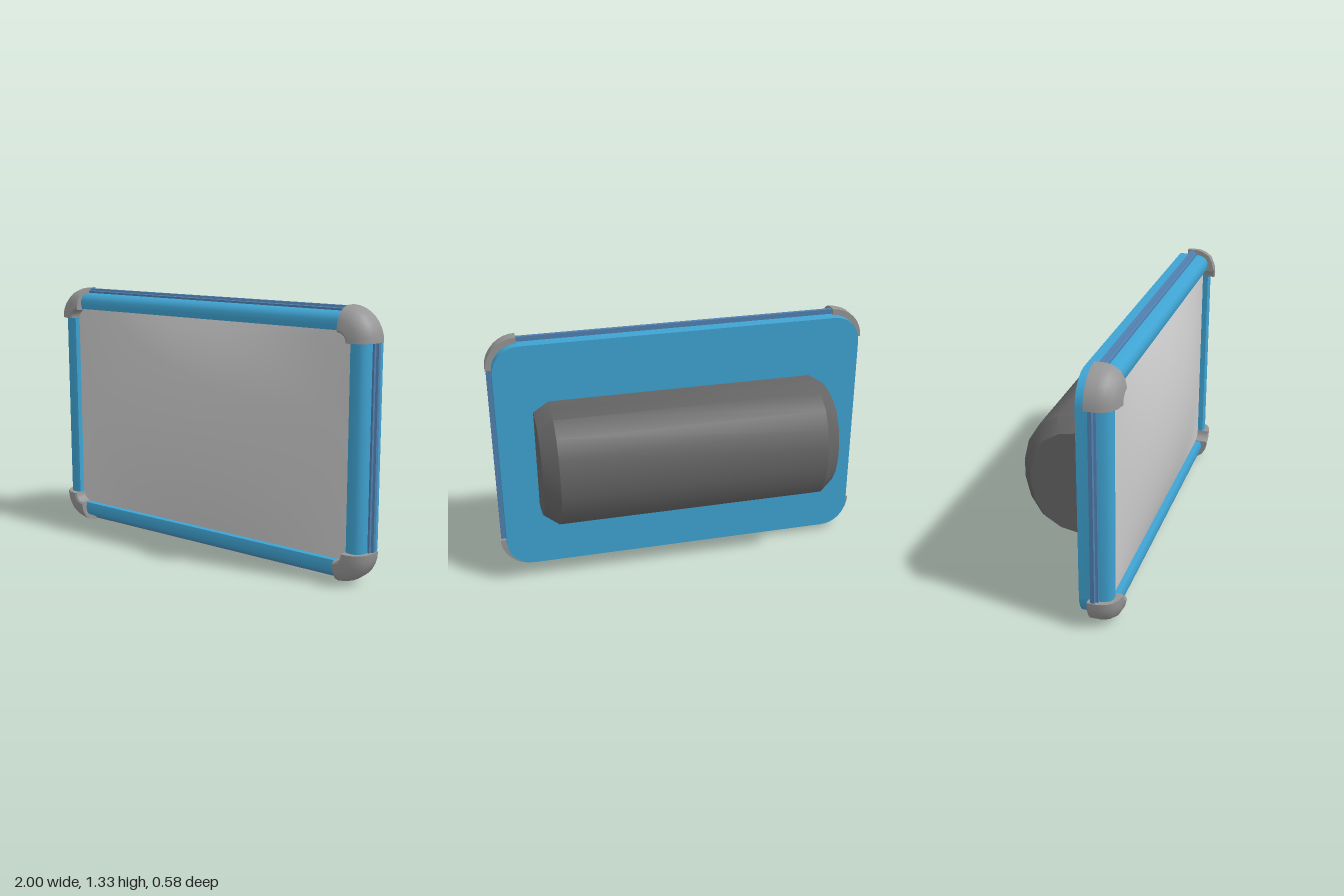
import * as THREE from 'three';
import { toCreasedNormals } from 'three/addons/utils/BufferGeometryUtils.js';

const CY = 0.665; // height of the panel centre
const HW = 1, HH = 0.665, R = 0.165; // outer half sizes and corner radius

const material = (name, color, side = THREE.FrontSide) => {
  const m = new THREE.MeshStandardMaterial({ color, side });
  m.name = name;
  return m;
};

// Rounded rectangle, counterclockwise; n arc steps, m extra points per straight edge
function outline(hw, hh, r, n = 8, m = 0) {
  const pts = [];
  [[1, 1], [-1, 1], [-1, -1], [1, -1]].forEach(([sx, sy], k) => {
    for (let i = 0; i <= n; i++) {
      const a = (k + i / n) * Math.PI / 2;
      pts.push([sx * (hw - r) + r * Math.cos(a), sy * (hh - r) + r * Math.sin(a)]);
    }
    const [x, y] = pts[pts.length - 1];
    for (let i = 1; i <= m; i++) {
      const t = i / (m + 1);
      pts.push(k % 2 ? [x + (sx < 0 ? 1 : -1) * 2 * (hw - r) * t * (k === 1 ? 0 : 1), y - (k === 1 ? 2 * (hh - r) * t : 0)]
        : [x, y]);
      const p = pts[pts.length - 1];
      if (k === 0) p[0] = x - 2 * (hw - r) * t;
      if (k === 2) p[0] = x + 2 * (hw - r) * t;
      if (k === 3) { p[0] = x; p[1] = y + 2 * (hh - r) * t; }
    }
  });
  return pts;
}

// Skin a row of cross-sections
function loft(sections, { loop = false, closed = false, caps = false, crease = 0.6 } = {}) {
  const S = sections.length, P = sections[0].length, index = [];
  for (let i = 0; i < (loop ? S : S - 1); i++) {
    for (let j = 0; j < (closed ? P : P - 1); j++) {
      const i2 = (i + 1) % S, j2 = (j + 1) % P;
      const a = i * P + j, b = i2 * P + j, c = i2 * P + j2, d = i * P + j2;
      index.push(a, b, d, b, c, d);
    }
  }
  if (caps) {
    const e = (S - 1) * P;
    for (let j = 1; j < P - 1; j++) index.push(0, j, j + 1, e, e + j + 1, e + j);
  }
  const g = new THREE.BufferGeometry();
  g.setAttribute('position', new THREE.Float32BufferAttribute(sections.flat(2), 3));
  g.setIndex(index);
  return toCreasedNormals(g, crease);
}

// Sections of a rim profile given as [inset, z], following the outer outline
function rimSections(profile) {
  const rings = profile.map(([d]) => outline(HW - d, HH - d, R - d));
  return rings[0].map((_, i) => profile.map(([, z], j) => [rings[j][i][0], CY + rings[j][i][1], z]));
}

export function createModel() {
  const blue = material('casing blue', 0x3fa3d2, THREE.DoubleSide);
  const slate = material('edge stripe blue', 0x5080b0, THREE.DoubleSide);
  const silver = material('screen silver', 0xcccccc, THREE.DoubleSide);
  const grey = material('bumper grey', 0x969696);
  const dark = material('housing dark grey', 0x646464);

  const model = new THREE.Group();
  model.name = 'panel';
  const add = (name, geometry, mat) => {
    const mesh = new THREE.Mesh(geometry, mat);
    mesh.name = name;
    model.add(mesh);
    return mesh;
  };

  // Back plate
  const plateShape = new THREE.Shape(outline(0.97, 0.635, 0.14).map(p => new THREE.Vector2(...p)));
  const plate = new THREE.ExtrudeGeometry(plateShape, { depth: 0.07, bevelEnabled: false });
  plate.translate(0, CY, 0.068);
  add('backPlate', toCreasedNormals(plate, 0.6), blue);

  // Frame: stepped outer stripe and rounded front
  add('edgeStripe', loft(rimSections([
    [0.04, 0.133], [0.005, 0.133], [0.005, 0.152], [0.016, 0.156], [0.018, 0.168], [0.028, 0.168],
  ]), { loop: true }), slate);
  add('frontFrame', loft(rimSections([
    [0.028, 0.168], [0.032, 0.195], [0.045, 0.218], [0.065, 0.229], [0.09, 0.23], [0.113, 0.224], [0.115, 0.18],
  ]), { loop: true }), blue);

  // Corner bumpers
  const bumper = rimSections([
    [0.118, 0.115], [0, 0.115], [0, 0.17], [0.01, 0.205], [0.03, 0.235], [0.065, 0.255], [0.108, 0.264], [0.118, 0.258],
  ]);
  ['leftTop', 'rightTop', 'rightBottom', 'leftBottom'].forEach((corner, k) => {
    add(corner + 'Bumper', loft(bumper.slice(k * 9, k * 9 + 9), { closed: true, caps: true }), grey);
  });

  // Domed screen
  const w = 0.888, h = 0.553, edge = outline(w, h, 0.055, 6, 15);
  const rings = [];
  for (let k = 0; k <= 12; k++) {
    const s = k / 12;
    rings.push(edge.map(([x, y]) => {
      const u = s * x / w, v = s * y / h;
      return [s * x, CY + s * y, 0.195 + 0.091 * (1 - u * u) * (1 - v * v)];
    }));
  }
  add('screen', loft(rings, { closed: true }), silver);

  // Rear housing: half-round section with chamfered ends, as [z, half height]
  const half = [[0.08, 0.322], [0, 0.322], [-0.115, 0.301], [-0.21, 0.243], [-0.265, 0.153], [-0.29, 0.048]];
  const section = [...half, ...half.map(([z, y]) => [z, -y]).reverse()];
  const housing = [[-0.78, 0.835], [-0.7, 1], [0.7, 1], [0.78, 0.835]].map(([x, s]) =>
    section.map(([z, y]) => [x, CY + y * s, 0.08 + (z - 0.08) * s]));
  add('rearHousing', loft(housing, { closed: true, caps: true, crease: 0.62 }), dark);

  return model;
}
